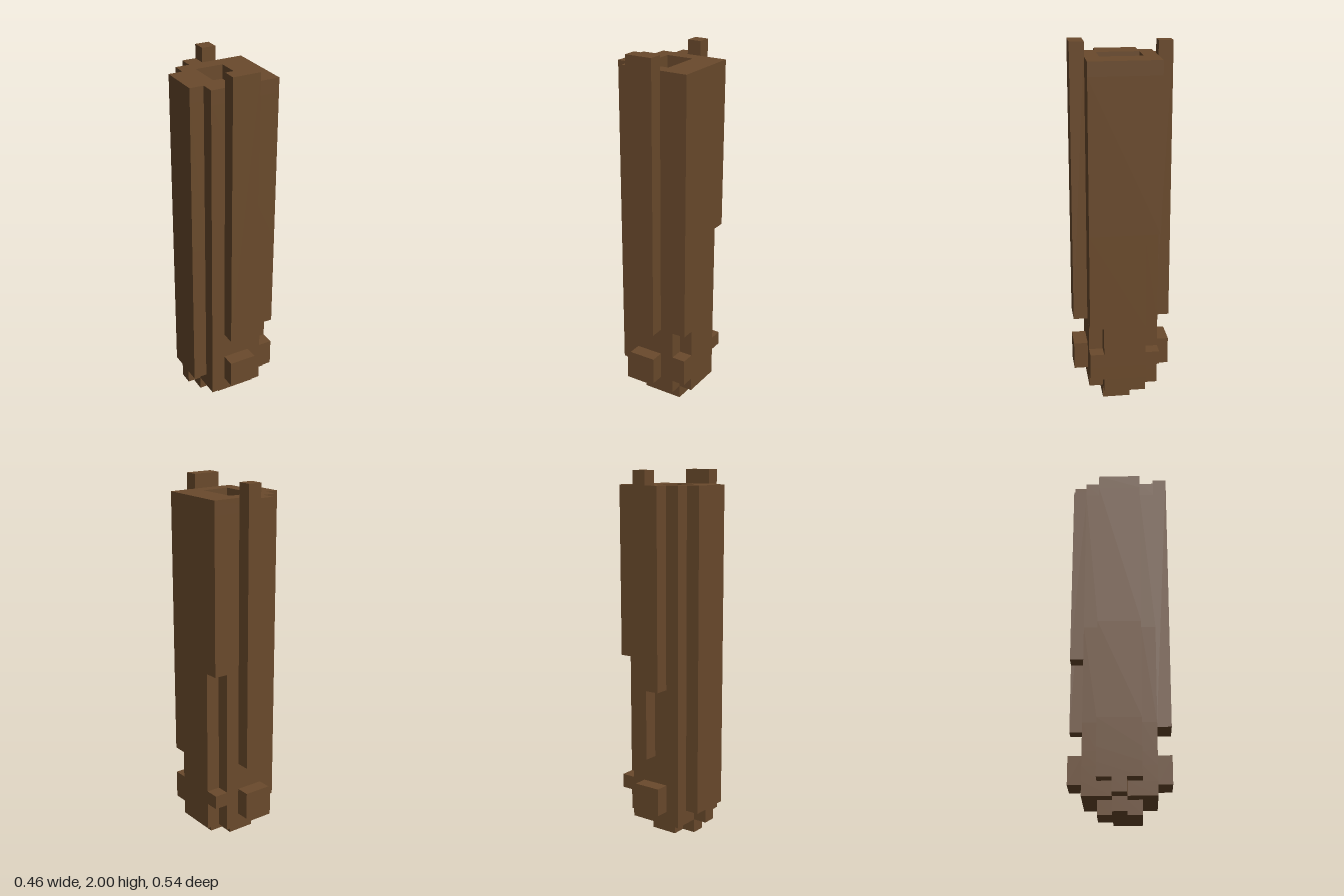
import * as THREE from 'three';

const U = 2 / 26; // one block unit

export function createModel() {
  const model = new THREE.Group();
  const bark = new THREE.MeshStandardMaterial({ color: 0x6a4a2c });
  bark.name = 'barkBrown';

  const add = (name, geometry) => {
    const mesh = new THREE.Mesh(geometry, bark);
    mesh.name = name;
    model.add(mesh);
  };

  // Horizontal slab from an outline of [x, z] points, in block units
  const slab = (name, points, y0, y1, hole) => {
    const toPoints = (list) => list.map(([x, z]) => new THREE.Vector2(x * U, -z * U));
    const shape = new THREE.Shape(toPoints(points));
    if (hole) shape.holes.push(new THREE.Path(toPoints(hole)));
    const geometry = new THREE.ExtrudeGeometry(shape, { depth: (y1 - y0) * U, bevelEnabled: false });
    geometry.rotateX(-Math.PI / 2).translate(0, y0 * U, 0);
    add(name, geometry);
  };

  // Block between two corners, in block units
  const block = (name, x0, x1, y0, y1, z0, z1) => {
    const geometry = new THREE.BoxGeometry((x1 - x0) * U, (y1 - y0) * U, (z1 - z0) * U);
    geometry.translate((x0 + x1) * U / 2, (y0 + y1) * U / 2, (z0 + z1) * U / 2);
    add(name, geometry);
  };

  // Trunk outline: optional notches in the +x corners, a narrower tongue at -x
  const outline = (frontNotch, backNotch, tongue) => [
    [-2, 2.5],
    ...(frontNotch ? [[2, 2.5], [2, 1.5], [3, 1.5]] : [[3, 2.5]]),
    ...(backNotch ? [[3, -1.5], [2, -1.5], [2, -2.5]] : [[3, -2.5]]),
    [-2, -2.5], [-2, -tongue], [-3, -tongue], [-3, tongue], [-2, tongue],
  ];

  // Trunk, bottom to top: y0, y1, front notch, back notch, tongue half width
  const levels = [
    [1, 2, true, true, 0.5],
    [2, 3, false, true, 1.5],
    [3, 4, false, false, 1.5],
    [4, 6, true, true, 1.5],
    [6, 13, false, true, 1.5],
    [13, 24, false, false, 1.5],
  ];
  for (const [y0, y1, front, back, tongue] of levels) {
    slab('trunkSection', outline(front, back, tongue), y0, y1);
  }

  // Rim around the shallow hollow at the top
  slab('trunkRim', outline(false, false, 1.5), 24, 25,
    [[-1, -1.5], [1, -1.5], [1, 1.5], [-1, 1.5]]);

  // Stepped foot
  slab('foot', [
    [-1, 1.5], [2, 1.5], [2, -0.5], [1, -0.5], [1, -1.5], [-1, -1.5],
    [-1, -0.5], [-2, -0.5], [-2, 0.5], [-1, 0.5],
  ], 0, 1);

  // Raised ridges and knobs
  block('frontRidge', -1, 1, 6, 26, 2.5, 3.5);
  block('backRidgeTall', 0, 1, 6, 26, -3.5, -2.5);
  block('backRidgeShort', -1, 0, 11, 25, -3.5, -2.5);
  block('frontKnob', -1, 1, 2, 4, 2.5, 3.5);
  block('backKnob', -1, 1, 2, 4, -3.5, -2.5);

  return model;
}
